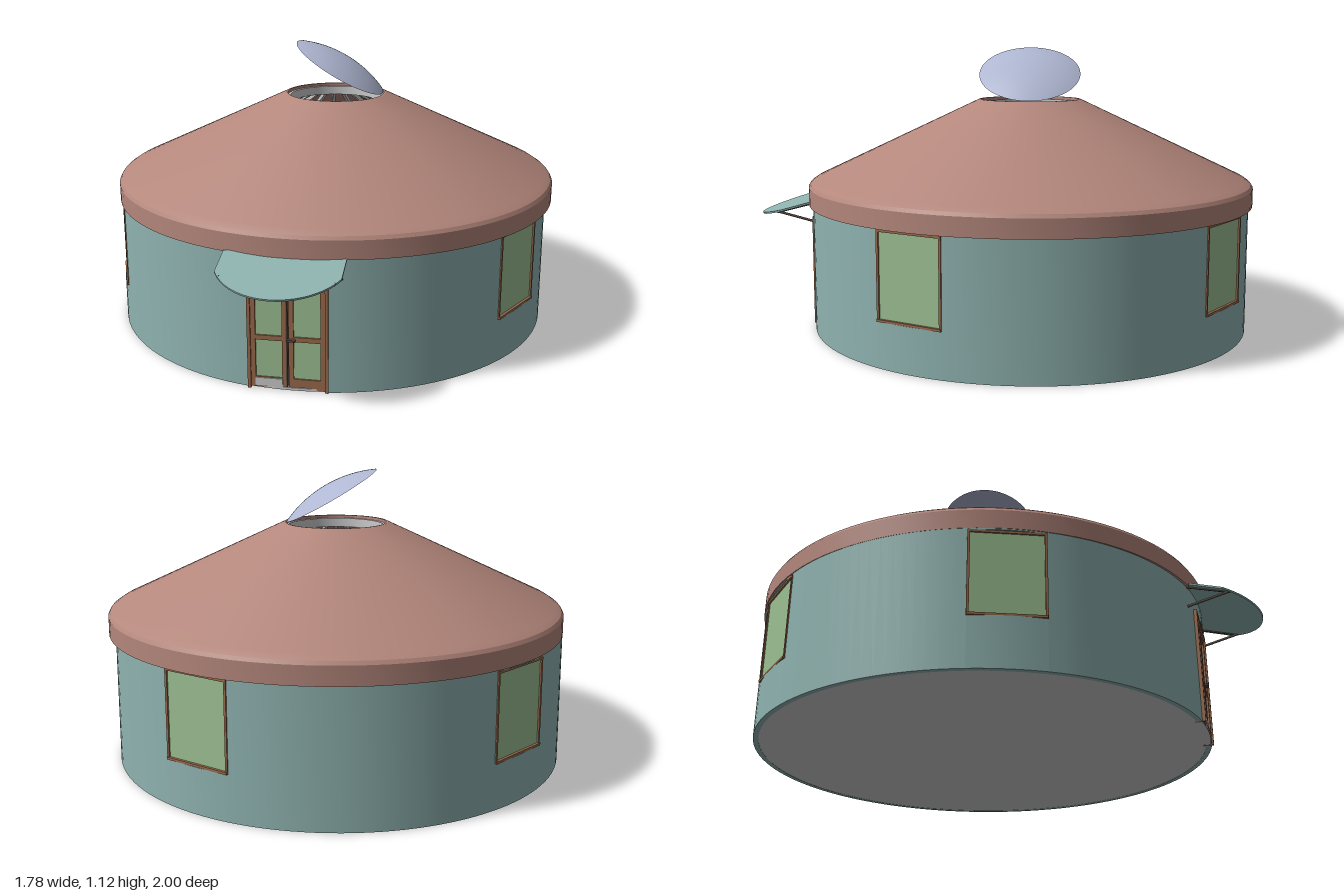
import * as THREE from 'three';
import { toCreasedNormals } from 'three/addons/utils/BufferGeometryUtils.js';

const mat = (color, side = THREE.FrontSide) => new THREE.MeshStandardMaterial({ color, side });
const D = THREE.DoubleSide;
const M = {
  roof: mat(0xb4877c, D), wall: mat(0x8fb3b0, D), glass: mat(0x9cbf92), wood: mat(0x98694b),
  dome: mat(0xafb7d2, D), grey: mat(0xcccccc, D), metal: mat(0x5a4a42),
};
const CX = -0.012, CZ = -0.11, R = 0.877, T = 0.02, TOP = 0.56;

function add(parent, name, geo, material, x = 0, y = 0, z = 0) {
  const m = new THREE.Mesh(geo, material);
  m.name = name;
  m.position.set(x, y, z);
  parent.add(m);
  return m;
}
const box = (p, name, material, w, h, d, x, y, z) =>
  add(p, name, new THREE.BoxGeometry(w, h, d), material, x, y, z);

function group(parent, name, x = 0, y = 0, z = 0) {
  const g = new THREE.Group();
  g.name = name;
  g.position.set(x, y, z);
  parent.add(g);
  return g;
}

// Ring or arc turned from [radius, height] pairs
const lathe = (pts, seg, start = 0, len = Math.PI * 2) => toCreasedNormals(
  new THREE.LatheGeometry(pts.map(([r, y]) => new THREE.Vector2(r, y)), seg, start, len), 0.3);

// Round rod between two points
function rod(parent, name, a, b, r, material) {
  const A = new THREE.Vector3(...a), B = new THREE.Vector3(...b);
  const dir = B.clone().sub(A);
  const m = add(parent, name, new THREE.CylinderGeometry(r, r, dir.length(), 8), material);
  m.position.copy(A).add(B).multiplyScalar(0.5);
  m.quaternion.setFromUnitVectors(new THREE.Vector3(0, 1, 0), dir.normalize());
}

export function createModel() {
  const model = new THREE.Group();
  model.name = 'roundHouse';
  const body = group(model, 'body', CX, 0, CZ);

  // Openings around the wall: azimuth from the front, half angle, bottom, top
  const rad = THREE.MathUtils.degToRad;
  const openings = [
    { az: rad(-0.8), half: 0.166, y0: 0, y1: 0.44 },
    ...[63, 146, 226, 292].map((a, i) => ({ az: rad(a), half: 0.152, y0: i === 3 ? 0.185 : 0.172, y1: 0.5 })),
  ];

  // Wall made of curved pieces between, under and over the openings
  const wall = group(body, 'wall');
  const wallPiece = (from, to, y0, y1) => add(wall, 'wallPiece',
    lathe([[R, y0], [R, y1], [R - T, y1], [R - T, y0], [R, y0]],
      Math.max(4, Math.ceil((to - from) / 0.05)), from, to - from), M.wall);
  openings.forEach((o, i) => {
    const next = openings[(i + 1) % openings.length];
    const end = next.az - next.half + (i === openings.length - 1 ? Math.PI * 2 : 0);
    wallPiece(o.az + o.half, end, 0, TOP);
    if (o.y0 > 0) wallPiece(o.az - o.half, o.az + o.half, 0, o.y0);
    wallPiece(o.az - o.half, o.az + o.half, o.y1, TOP);
  });

  // Interior lining, left open at the windows and door, and floor
  add(body, 'floor', new THREE.CylinderGeometry(R - 0.004, R - 0.004, 0.01, 96), M.grey, 0, 0.006, 0);

  // Windows with glass, jambs and sill
  for (const o of openings.slice(1)) {
    const w = group(body, 'window');
    w.rotation.y = o.az;
    const W = 2 * R * Math.sin(o.half), h = o.y1 - o.y0, cy = (o.y0 + o.y1) / 2;
    box(w, 'windowGlass', M.glass, W, h, 0.016, 0, cy, 0.857);
    for (const s of [-1, 1]) box(w, 'windowJamb', M.wood, 0.009, h, 0.034, s * (W / 2 - 0.003), cy, 0.854);
    box(w, 'windowHead', M.wood, W, 0.009, 0.03, 0, o.y1 - 0.004, 0.856);
    box(w, 'windowSill', M.wood, W, 0.009, 0.034, 0, o.y0 + 0.004, 0.858);
  }

  // Double door
  const door = group(model, 'door', -0.025, 0, 0.745);
  for (const s of [-1, 1]) {
    const leaf = group(door, 'doorLeaf', s * 0.069, 0, 0);
    box(leaf, 'doorGlass', M.glass, 0.11, 0.4, 0.014, 0, 0.22, 0);
    for (const t of [-1, 1]) box(leaf, 'doorStile', M.wood, 0.018, 0.425, 0.024, t * 0.057, 0.218, 0.002);
    for (const [y, h] of [[0.024, 0.038], [0.195, 0.018], [0.418, 0.024]])
      box(leaf, 'doorRail', M.wood, 0.1, h, 0.022, 0, y, 0.002);
    box(door, 'doorPost', M.wood, 0.012, 0.44, 0.04, s * 0.14, 0.22, 0);
  }
  box(door, 'doorHead', M.wood, 0.29, 0.012, 0.04, 0, 0.434, 0);
  box(door, 'doorGap', M.metal, 0.005, 0.42, 0.026, -0.004, 0.22, 0.002);
  box(door, 'kickPlate', M.grey, 0.1, 0.03, 0.004, -0.069, 0.026, 0.015);
  box(door, 'doorHandle', M.metal, 0.03, 0.007, 0.014, 0.014, 0.194, 0.02);

  // Awning: a sloping sheet with a rounded front
  const shape = new THREE.Shape();
  shape.moveTo(-0.218, -0.015);
  shape.lineTo(0.218, -0.015);
  shape.lineTo(0.218, 0.11);
  const ar = 0.244, ac = 0.0, a0 = Math.asin(0.11 / ar);
  for (let i = 1; i <= 24; i++) {
    const a = a0 + (Math.PI - 2 * a0) * i / 24;
    shape.lineTo(ar * Math.cos(a), ac + ar * Math.sin(a));
  }
  shape.closePath();
  const sheet = new THREE.ExtrudeGeometry(shape, { depth: 0.007, bevelEnabled: false });
  const awning = group(model, 'awning');
  add(awning, 'awningSheet', sheet, M.wall, -0.033, 0.508, 0.765).rotation.x = Math.PI / 2 + rad(15.5);
  for (const x of [-0.23, 0.165]) {
    rod(awning, 'awningBrace', [x, 0.425, 0.73], [x, 0.469, 0.895], 0.005, M.metal);
    rod(awning, 'awningRail', [x, 0.505, 0.74], [x, 0.465, 0.895], 0.004, M.metal);
  }

  // Conical roof with a rolled eave and a round opening
  const roof = group(model, 'roof', 0, 0, CZ);
  add(roof, 'roofShell', lathe([[0.876, 0.505], [0.89, 0.505], [0.89, 0.575], [0.882, 0.588], [0.86, 0.603],
    [0.205, 0.912], [0.197, 0.912], [0.197, 0.9], [0.855, 0.59], [0.876, 0.57], [0.876, 0.505]], 96), M.roof);

  // Crown ring and rafters inside
  add(roof, 'crownRing', lathe([[0.197, 0.865], [0.197, 0.9], [0.186, 0.9], [0.186, 0.865], [0.197, 0.865]], 64), M.grey);
  const slope = Math.atan2(0.309, 0.655);
  for (let i = 0; i < 32; i++) {
    const arm = group(roof, 'rafter');
    arm.rotation.y = (i / 32) * Math.PI * 2;
    box(arm, 'rafterBeam', M.grey, 0.012, 0.018, 0.73, 0, 0.717, 0.522).rotation.x = slope;
  }

  // Tilted skylight dome, hinged open on the left side
  const cap = 0.203, rise = 0.045, SR = (cap * cap + rise * rise) / (2 * rise);
  const dome = group(model, 'skylight', 0.018, 1.015, CZ);
  dome.rotation.z = -rad(30);
  add(dome, 'skylightDome',
    new THREE.SphereGeometry(SR, 64, 12, 0, Math.PI * 2, 0, Math.asin(cap / SR)), M.dome, 0, rise - SR, 0);

  return model;
}
